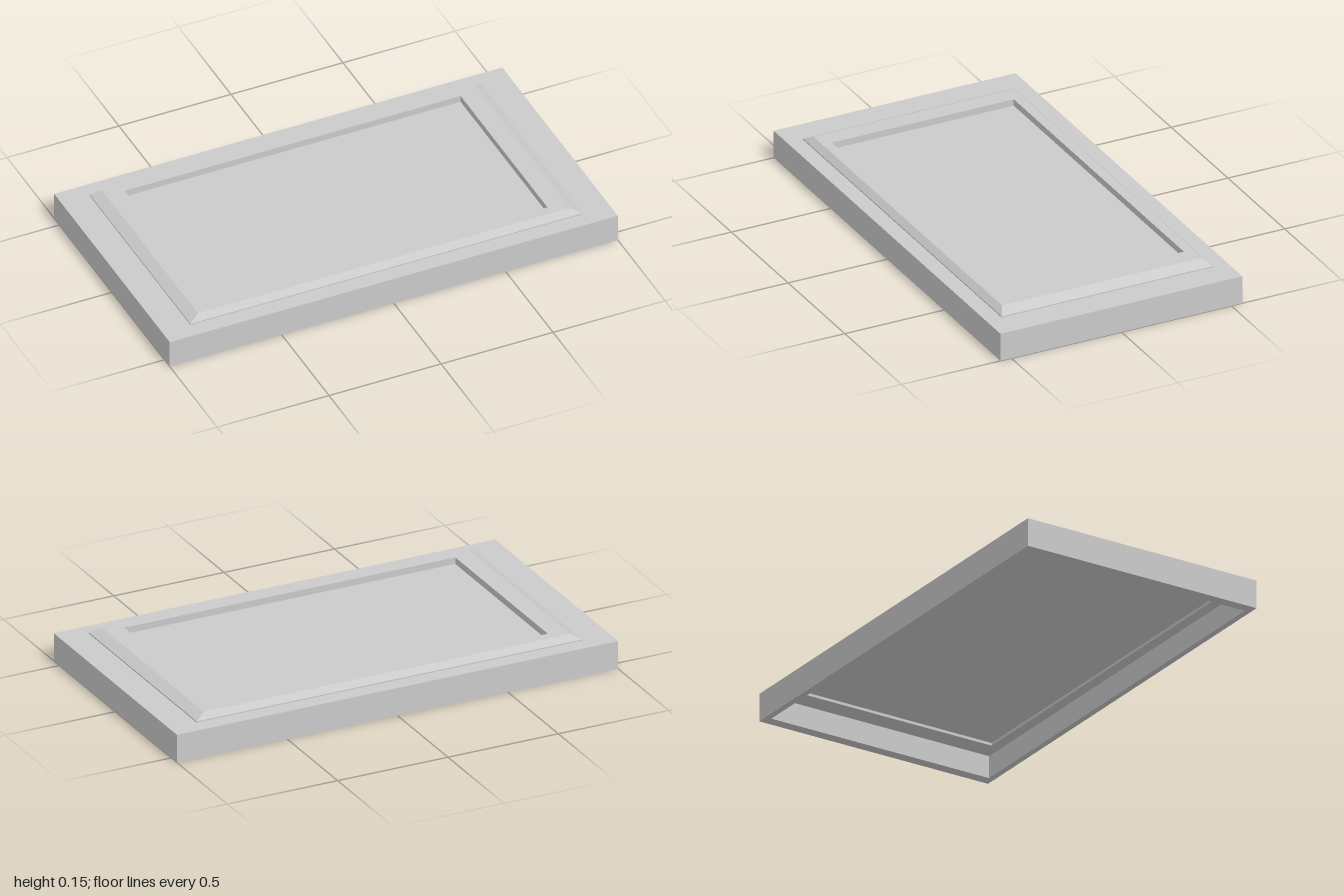
import * as THREE from 'three';

// Skin of flat quads through a sequence of rectangular rings [halfX, halfZ, y].
// Rings run bottom to top outside, then inward, so the faces look outward.
function ringSkin(rings) {
  const corners = ([x, z, y]) => [[-x, y, z], [x, y, z], [x, y, -z], [-x, y, -z]];
  const pos = [];
  for (let i = 0; i < rings.length - 1; i++) {
    const a = corners(rings[i]), b = corners(rings[i + 1]);
    for (let k = 0; k < 4; k++) {
      const n = (k + 1) % 4;
      pos.push(...a[k], ...a[n], ...b[n], ...a[k], ...b[n], ...b[k]);
    }
  }
  const geo = new THREE.BufferGeometry();
  geo.setAttribute('position', new THREE.Float32BufferAttribute(pos, 3));
  geo.computeVertexNormals();
  return geo;
}

export function createModel() {
  const group = new THREE.Group();
  const grey = new THREE.MeshStandardMaterial({ color: 0xcacaca });
  grey.name = 'plain grey';

  const add = (name, geometry) => {
    const mesh = new THREE.Mesh(geometry, grey);
    mesh.name = name;
    group.add(mesh);
    return mesh;
  };

  // Hollow tray: ceiling opening, inner walls, bottom rim, outer walls, top border
  add('casing', ringSkin([
    [0.862, 0.478, 0.111],
    [0.862, 0.478, 0.098],
    [0.952, 0.524, 0.098],
    [0.952, 0.524, 0],
    [1, 0.55, 0],
    [1, 0.55, 0.123],
    [0.862, 0.474, 0.123],
  ]));

  // Raised frame: short lip, bevel, flat top, drop into the recess
  add('bevelledFrame', ringSkin([
    [0.875, 0.48, 0.122],
    [0.875, 0.48, 0.128],
    [0.831, 0.456, 0.152],
    [0.75, 0.413, 0.152],
    [0.75, 0.413, 0.122],
  ]));

  // Panel forming the recess floor and closing the underside
  const panel = add('panel', new THREE.BoxGeometry(1.724, 0.013, 0.956));
  panel.position.y = 0.1165;

  return group;
}
